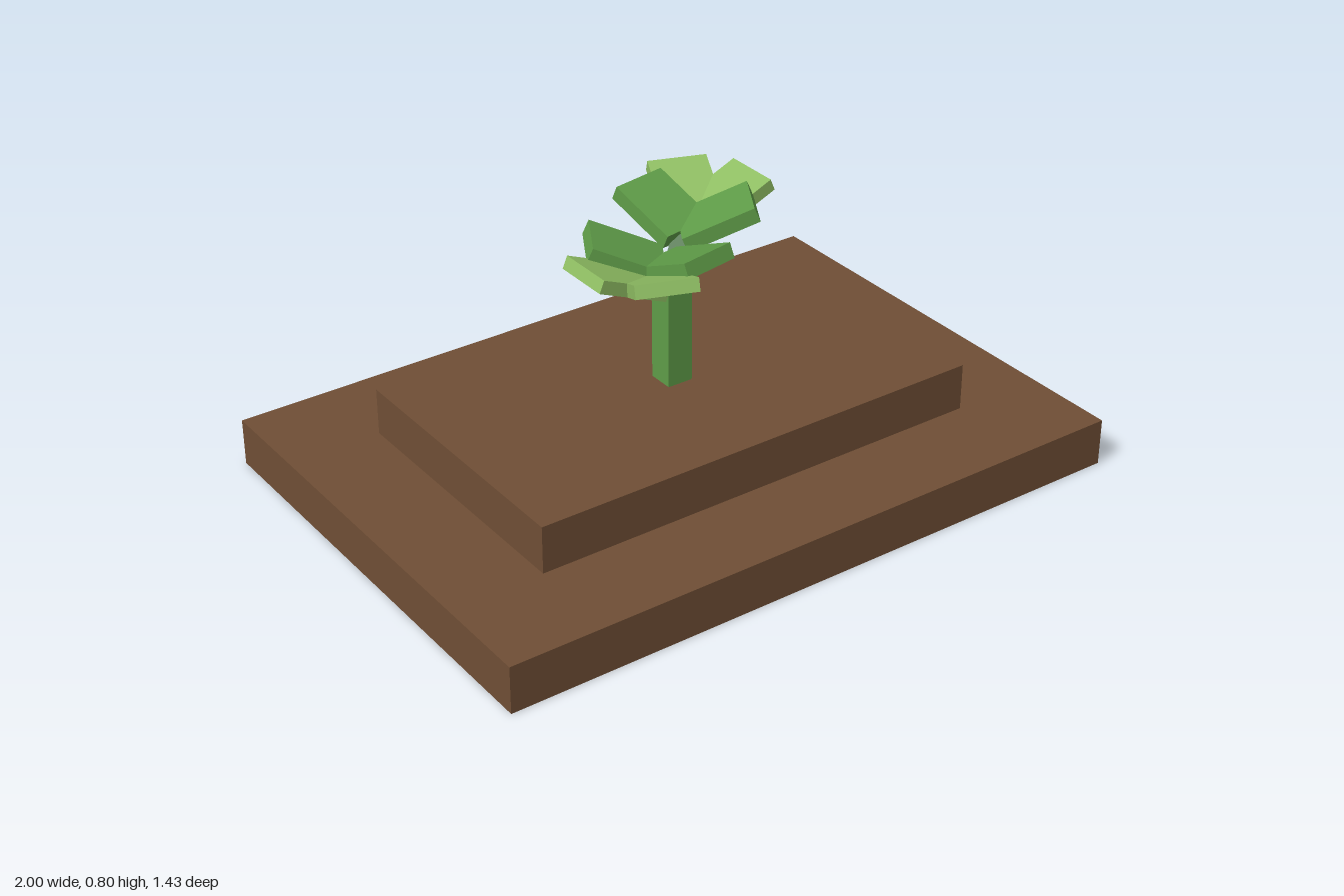
import * as THREE from 'three';

const mat = (name, color) => {
  const m = new THREE.MeshStandardMaterial({ color });
  m.name = name;
  return m;
};

const rad = THREE.MathUtils.degToRad;

function box(name, material, w, h, d, x, y, z) {
  const mesh = new THREE.Mesh(new THREE.BoxGeometry(w, h, d).translate(x, y, z), material);
  mesh.name = name;
  return mesh;
}

export function createModel() {
  const soil = mat('soil brown', 0x6f4e35);
  const green = mat('stem green', 0x5f9c48);
  const branchGreen = mat('branch green', 0x3b6a36);
  const lime = mat('leaf tip lime', 0x8fbe63);

  const model = new THREE.Group();
  model.name = 'sprout';

  // Stepped soil base
  model.add(box('lowerSoil', soil, 2, 0.143, 1.43, 0, 0.0715, 0));
  model.add(box('upperSoil', soil, 1.43, 0.143, 0.854, 0, 0.2145, 0));

  // Stem
  model.add(box('stem', green, 0.08, 0.315, 0.08, 0, 0.4435, 0));

  // A flat leaf that starts on the cluster axis, turned sideways and tilted up
  const leaf = (name, material, start, y, length, thickness, turn) => {
    const mesh = box(name, material, length, thickness, 0.175, length / 2, thickness / 2, 0);
    mesh.position.set(start, y, 0);
    mesh.rotation.set(0, rad(turn), rad(23));
    return mesh;
  };

  // Two opposite clusters, each a branch with four leaves
  for (const heading of [35, 215]) {
    const cluster = new THREE.Group();
    cluster.name = 'leafCluster';
    cluster.rotation.y = rad(heading);

    const branch = box('branch', branchGreen, 0.12, 0.05, 0.05, 0.06, 0, 0);
    branch.position.y = 0.608;
    branch.rotation.z = rad(40);
    cluster.add(branch);

    for (const side of [1, -1]) {
      cluster.add(leaf('innerLeaf', green, 0.11, 0.675, 0.217, 0.045, 65 * side));
      cluster.add(leaf('outerLeaf', lime, 0.2, 0.669, 0.23, 0.038, 35 * side));
    }
    model.add(cluster);
  }
  return model;
}
